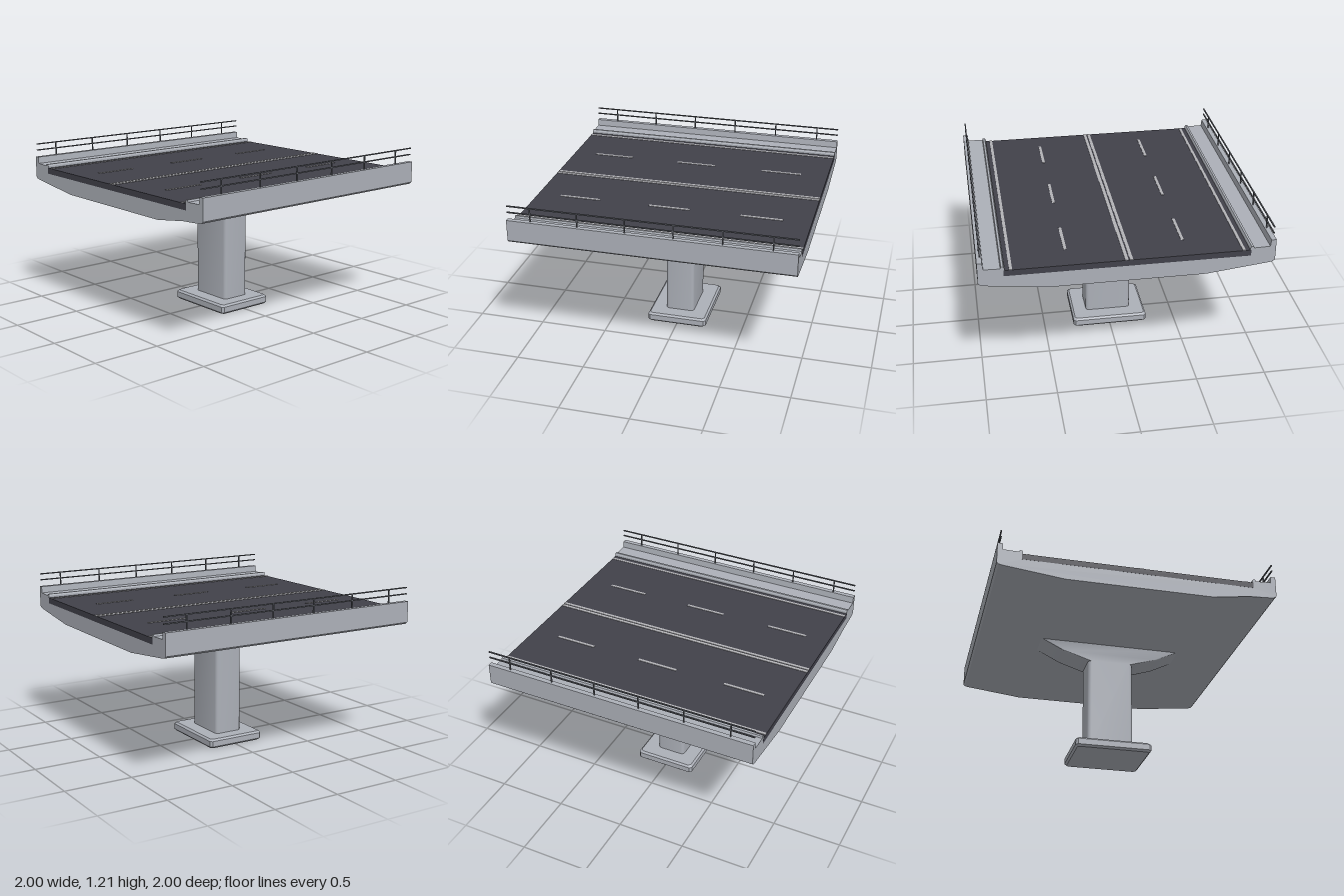
import * as THREE from 'three';
import { toCreasedNormals } from 'three/addons/utils/BufferGeometryUtils.js';

const mat = (name, color) => {
  const m = new THREE.MeshStandardMaterial({ color });
  m.name = name;
  return m;
};

// Closed solid through rounded rectangles stacked as [y, halfX, halfZ]
function loft(rings, radius, segments, crease) {
  const pos = [], index = [];
  const n = 4 * (segments + 1);
  for (const [y, hx, hz] of rings) {
    for (let q = 0; q < 4; q++) {
      const sx = q === 0 || q === 3 ? 1 : -1, sz = q < 2 ? 1 : -1;
      for (let s = 0; s <= segments; s++) {
        const t = (q + s / segments) * Math.PI / 2;
        pos.push(sx * (hx - radius) + radius * Math.cos(t), y, sz * (hz - radius) + radius * Math.sin(t));
      }
    }
  }
  const last = rings.length - 1, bottom = n * rings.length, top = bottom + 1;
  pos.push(0, rings[0][0], 0, 0, rings[last][0], 0);
  for (let i = 0; i < n; i++) {
    const j = (i + 1) % n;
    for (let k = 0; k < last; k++) {
      const a = k * n + i, b = k * n + j;
      index.push(a, a + n, b, b, a + n, b + n);
    }
    index.push(bottom, i, j, top, last * n + j, last * n + i);
  }
  const g = new THREE.BufferGeometry();
  g.setAttribute('position', new THREE.Float32BufferAttribute(pos, 3));
  g.setIndex(index);
  return toCreasedNormals(g, crease);
}

export function createModel() {
  const model = new THREE.Group();
  model.name = 'bridgeSection';
  const concrete = mat('concrete', 0xacb0b8);
  const asphalt = mat('asphalt', 0x41414a);
  const paint = mat('roadPaint', 0xb2b2b6);
  const metal = mat('railMetal', 0x5c5f66);

  const add = (name, geometry, material, x = 0, y = 0, z = 0, parent = model) => {
    const mesh = new THREE.Mesh(geometry, material);
    mesh.name = name;
    mesh.position.set(x, y, z);
    parent.add(mesh);
    return mesh;
  };
  const box = (w, h, d) => new THREE.BoxGeometry(w, h, d);

  // Pier: footing, column and flared cap
  add('footing', loft([[0, 0.266, 0.211], [0.014, 0.28, 0.225], [0.056, 0.28, 0.225], [0.07, 0.266, 0.211]], 0.016, 1, 0.3), concrete);
  add('column', loft([[0.06, 0.17, 0.108], [0.745, 0.17, 0.108]], 0.025, 3, 0.6), concrete);
  add('pierCap', loft([[0.738, 0.165, 0.108], [0.805, 0.37, 0.108], [0.895, 0.55, 0.108]], 0.025, 3, 0.6), concrete);

  // Deck with walkways, kerbs and parapets, one half profile mirrored
  const half = [
    [0.53, 0.886], [0.63, 0.898], [0.77, 0.914], [0.96, 0.936], [0.985, 0.941], [1, 0.955],
    [1, 1.108], [0.965, 1.108], [0.96, 1.06], [0.85, 1.057], [0.845, 1.07], [0.83, 1.07], [0.823, 1.057], [0.823, 1.0],
  ];
  const outline = [...half, ...half.map(([x, y]) => [-x, y]).reverse()];
  const shape = new THREE.Shape(outline.map(([x, y]) => new THREE.Vector2(x, y)));
  const deck = new THREE.ExtrudeGeometry(shape, { depth: 2, bevelEnabled: false });
  deck.translate(0, 0, -1);
  // The underside hollows slightly at the front on one side
  const p = deck.attributes.position;
  for (let i = 0; i < p.count; i++) {
    const x = p.getX(i);
    if (p.getZ(i) > 0.9 && x > 0.6 && x < 0.8 && p.getY(i) < 0.95) p.setY(i, p.getY(i) + 0.016);
  }
  add('deck', toCreasedNormals(deck, 0.3), concrete);

  // Road surface and painted lines
  const roadTop = 1.043;
  add('road', box(1.66, roadTop - 1, 2.001), asphalt, 0, (1 + roadTop) / 2, 0);
  const stripe = (name, x, z, w, d) => add(name, box(w, 0.004, d), paint, x, roadTop + 0.001, z);
  for (const s of [-1, 1]) {
    stripe('edgeLine', s * 0.782, 0, 0.02, 2);
    stripe('centreLine', s * 0.0155, 0, 0.022, 2);
    for (const z of [-0.65, 0.015, 0.68]) stripe('laneDash', s * 0.402, z, 0.02, 0.3);
  }

  // Railings on both parapets
  for (const s of [-1, 1]) {
    const railing = new THREE.Group();
    railing.name = s > 0 ? 'leftRailing' : 'rightRailing';
    model.add(railing);
    for (const y of [1.206, 1.16]) add('rail', box(0.009, 0.008, 2), metal, s * 0.978, y, 0, railing);
    for (let i = 0; i < 6; i++) {
      add('railPost', box(0.008, 0.108, 0.008), metal, s * 0.978, 1.154, (i - 2.5) / 3, railing);
    }
  }
  return model;
}
